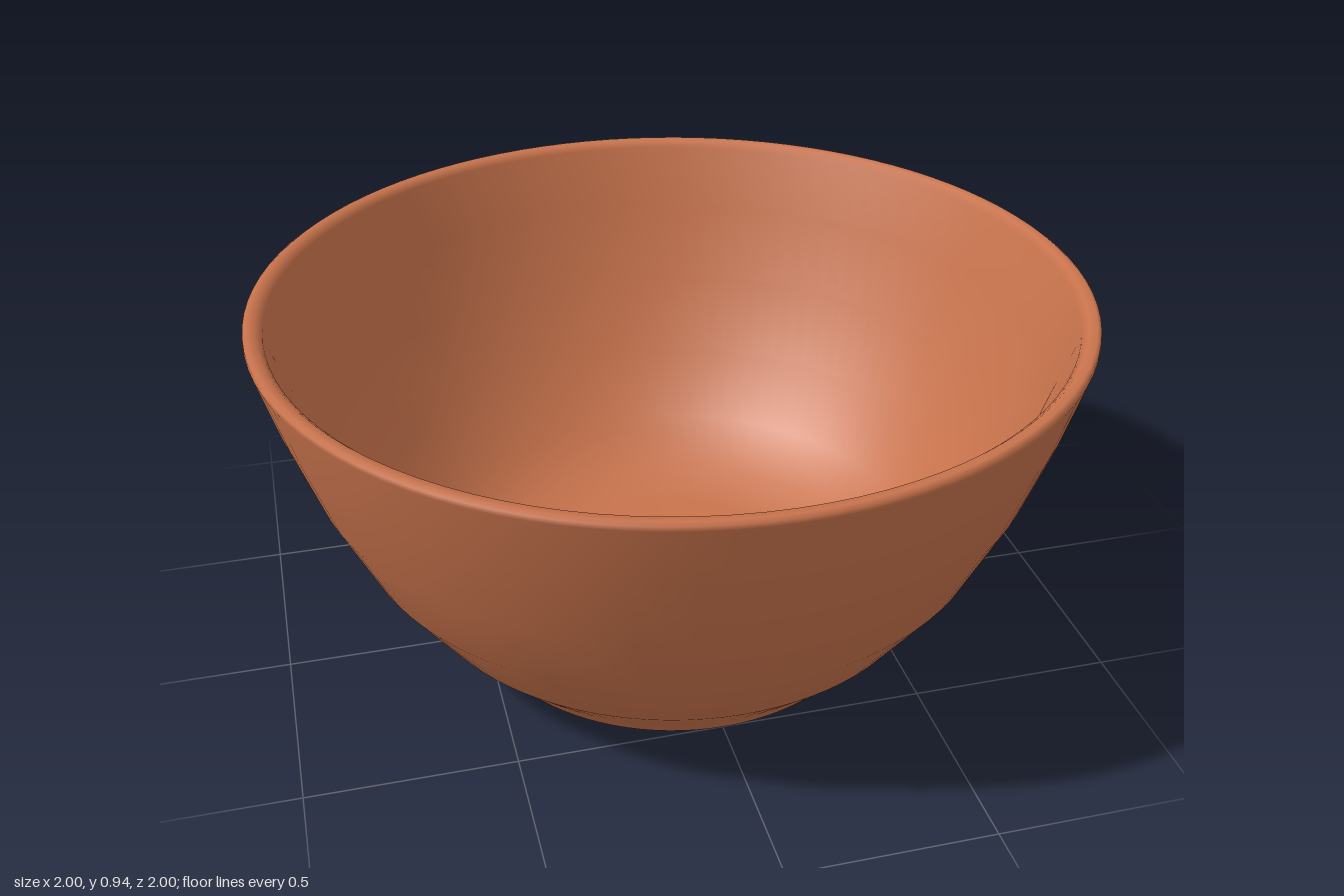
import * as THREE from 'three';

export function createModel() {
  const model = new THREE.Group();
  model.name = 'bowl';
  const terracotta = new THREE.MeshStandardMaterial({ color: 0xc8734c });
  terracotta.name = 'terracotta';

  // Closed wall profile [radius, height]: underside, foot ring, outer wall, rim, inner wall, floor
  const profile = [
    [0, 0.05], [0.40, 0.05], [0.425, 0.035], [0.445, 0.008], [0.465, 0], [0.49, 0],
    [0.515, 0.013], [0.527, 0.03], [0.545, 0.055],
    [0.665, 0.175], [0.79, 0.355], [0.885, 0.56], [0.955, 0.765],
    [0.998, 0.92], [0.997, 0.931], [0.988, 0.937], [0.968, 0.935], [0.953, 0.92],
    [0.905, 0.765], [0.835, 0.57], [0.74, 0.38], [0.625, 0.22], [0.5, 0.125],
    [0.35, 0.105], [0, 0.1],
  ].map(([r, y]) => new THREE.Vector2(r, y));

  const body = new THREE.Mesh(new THREE.LatheGeometry(profile, 96), terracotta);
  body.name = 'bowlBody';
  model.add(body);
  return model;
}
